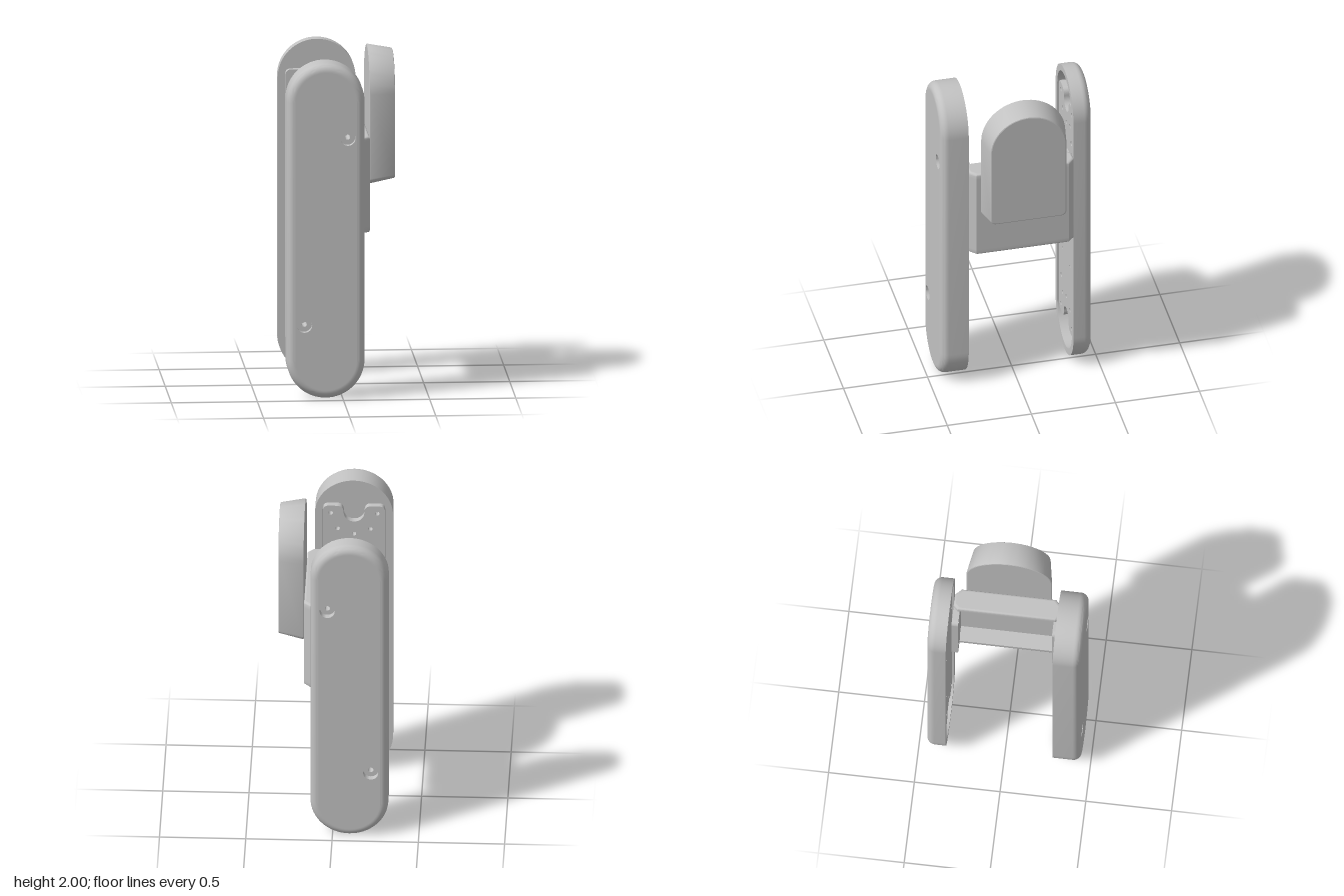
import * as THREE from 'three';
import { toCreasedNormals } from 'three/addons/utils/BufferGeometryUtils.js';

const grey = new THREE.MeshStandardMaterial({ color: 0xc2c2c2 });
grey.name = 'grey';
const greyOpen = new THREE.MeshStandardMaterial({ color: 0xc2c2c2, side: THREE.DoubleSide });
greyOpen.name = 'grey';

const LOW = 0.23, HIGH = 1.75, RADIUS = 0.226, WALL = 0.04;
const PLATE_Z = 0.01, PLATE_T = 0.035;
const BORE = 0.044, SCREW = 0.015;

function add(parent, name, geometry, material = grey) {
  const mesh = new THREE.Mesh(geometry, material);
  mesh.name = name;
  parent.add(mesh);
  return mesh;
}

function arc(cx, cy, r, from, to, n) {
  return Array.from({ length: n + 1 }, (_, i) => {
    const a = from + (to - from) * i / n;
    return new THREE.Vector2(cx + r * Math.cos(a), cy + r * Math.sin(a));
  });
}

// Outlines, counter-clockwise, shrunk by an inset
const stadium = (inset) => [
  ...arc(0, HIGH, RADIUS - inset, 0, Math.PI, 32),
  ...arc(0, LOW, RADIUS - inset, Math.PI, 2 * Math.PI, 32),
];
const arch = (inset) => {
  const w = 0.25 - inset, y = 1.225 + inset, r = 0.03;
  return [
    ...arc(0, 1.75, w, 0, Math.PI, 32),
    ...arc(-w + r, y + r, r, Math.PI, 1.5 * Math.PI, 6),
    ...arc(w - r, y + r, r, 1.5 * Math.PI, 2 * Math.PI, 6),
  ];
};
const BRIDGE_X0 = 0.043, BRIDGE_X1 = 0.17, BRIDGE_H = 0.311;
const octagon = (inset) => {
  const x0 = BRIDGE_X0 + inset, x1 = BRIDGE_X1 - inset, h = BRIDGE_H - inset, c = 0.025, d = 0.035;
  return [[x0 + c, -h], [x1 - d, -h], [x1, -h + d], [x1, h - d],
    [x1 - d, h], [x0 + c, h], [x0, h - c], [x0, -h + c]].map(([x, y]) => new THREE.Vector2(x, y));
};

// Skin through an outline repeated at [inset, z] steps
function loft(outline, steps) {
  const pos = [], index = [];
  const n = outline(0).length;
  steps.forEach(([inset, z], i) => {
    outline(inset).forEach((p, j) => {
      pos.push(p.x, p.y, z);
      if (i === steps.length - 1) return;
      const k = (j + 1) % n;
      const a = i * n + j, b = i * n + k, c = b + n, d = a + n;
      index.push(a, b, c, a, c, d);
    });
  });
  const g = new THREE.BufferGeometry();
  g.setAttribute('position', new THREE.Float32BufferAttribute(pos, 3));
  g.setIndex(index);
  return toCreasedNormals(g, 0.5);
}

function punch(shape, holes) {
  for (const [x, y, r] of holes) {
    shape.holes.push(new THREE.Path().absarc(x, y, r, 0, Math.PI * 2, true));
  }
  return shape;
}

const face = (points, holes = []) =>
  new THREE.ShapeGeometry(punch(new THREE.Shape(points), holes), 16);

// Quarter-round from the wall onto the flat top at z = depth
const rounding = (r, depth, n) => Array.from({ length: n + 1 }, (_, i) => {
  const a = i / n * Math.PI / 2;
  return [r * (1 - Math.cos(a)), depth - r * (1 - Math.sin(a))];
});

// Closed lofted body whose two ends lie flat
function solid(name, outline, steps) {
  const g = new THREE.Group();
  g.name = name;
  const [inset0, z0] = steps[0], [inset1, z1] = steps[steps.length - 1];
  add(g, name + 'Side', loft(outline, steps));
  add(g, name + 'Face', face(outline(inset1))).position.z = z1;
  const base = face(outline(inset0).map((p) => new THREE.Vector2(-p.x, p.y)));
  add(g, name + 'Base', base.rotateY(Math.PI)).position.z = z0;
  return g;
}

// Mounting plate with a round notch at both ends
function plateGeometry(screws) {
  const w = 0.18, r = 0.035, b = 0.185, t = 1.795;
  const s = new THREE.Shape();
  s.moveTo(-w, b + r);
  s.quadraticCurveTo(-w, b, -w + r, b);
  s.lineTo(-0.1, b);
  s.quadraticCurveTo(-0.06, b, -0.06, b + 0.045);
  s.absarc(0, b + 0.045, 0.06, Math.PI, 0, true);
  s.quadraticCurveTo(0.06, b, 0.1, b);
  s.lineTo(w - r, b);
  s.quadraticCurveTo(w, b, w, b + r);
  s.lineTo(w, t - r);
  s.quadraticCurveTo(w, t, w - r, t);
  s.lineTo(0.1, t);
  s.quadraticCurveTo(0.06, t, 0.06, t - 0.045);
  s.absarc(0, t - 0.045, 0.06, 0, -Math.PI, true);
  s.quadraticCurveTo(-0.06, t, -0.1, t);
  s.lineTo(-w + r, t);
  s.quadraticCurveTo(-w, t, -w, t - r);
  const holes = screws.map(([x, y]) => [x, y, SCREW]);
  for (const up of [1, -1]) {
    const y = (d) => 0.99 + up * d;
    holes.push([0, y(0.617), 0.013]);
    for (const side of [1, -1]) {
      holes.push([side * 0.135, y(0.757), 0.013], [side * 0.095, y(0.652), 0.013],
        [side * 0.095, y(up > 0 ? 0.27 : 0.34), 0.008]);
    }
  }
  return new THREE.ExtrudeGeometry(punch(s, holes),
    { depth: PLATE_T, bevelEnabled: false, curveSegments: 14 });
}

// Hollow cover: the open rim lies at z = 0, the outer face at z = depth
function cover(name, depth, flip) {
  const g = new THREE.Group();
  g.name = name;
  const screws = [[0.127 * flip, 1.54], [-0.125 * flip, 0.44]];
  const floor = depth - 0.035, round = 0.046, edge = round + 0.003;
  add(g, 'coverShell', loft(stadium,
    [[WALL, floor], [WALL, 0], [0, 0], ...rounding(round, depth, 8), [edge, depth]]));
  add(g, 'coverFace', face(stadium(edge), screws.map(([x, y]) => [x, y, BORE])))
    .position.z = depth;
  add(g, 'coverFloor', face(stadium(WALL), screws.map(([x, y]) => [-x, y, BORE]))
    .rotateY(Math.PI)).position.z = floor;
  add(g, 'mountingPlate', plateGeometry(screws)).position.z = PLATE_Z;
  // Counterbored screw holes
  const seat = depth - 0.035;
  const profile = [[SCREW, PLATE_Z], [SCREW, seat], [BORE, seat], [BORE, depth]]
    .map(([r, z]) => new THREE.Vector2(r, z));
  for (const [x, y] of screws) {
    const bore = toCreasedNormals(new THREE.LatheGeometry(profile, 32).rotateX(Math.PI / 2), 0.5);
    add(g, 'screwHole', bore, greyOpen).position.set(x, y, 0);
  }
  return g;
}

// Small flange that joins the bridge to a cover
function flangeGeometry(depth) {
  const x0 = -0.04, x1 = 0.07, y0 = 0.983, y1 = 1.475, r = 0.03;
  const s = new THREE.Shape();
  s.moveTo(x1, y0);
  s.lineTo(x1, y1);
  s.lineTo(x0 + r, y1);
  s.absarc(x0 + r, y1 - r, r, Math.PI / 2, Math.PI, false);
  s.absarc(x0 + r, y0 + r, r, Math.PI, Math.PI * 1.5, false);
  punch(s, [[0, 1.05, 0.012], [0, 1.41, 0.012]]);
  return new THREE.ExtrudeGeometry(s, { depth, bevelEnabled: false, curveSegments: 8 });
}

// Bridge: a shell with chamfered upright edges, open towards -x
function bridge() {
  const g = new THREE.Group();
  g.name = 'bridge';
  const y0 = 0.945, y1 = 1.51, wall = 0.035;
  const inX = BRIDGE_X1 - wall, inH = BRIDGE_H - wall;
  const section = new THREE.Shape([...octagon(0),
    ...[[BRIDGE_X0, -inH], [inX, -inH], [inX, inH], [BRIDGE_X0, inH]]
      .map(([x, y]) => new THREE.Vector2(x, y))].filter((p, i) => i < 7 || i > 7));
  section.curves.length = 0;
  const o = octagon(0);
  section.setFromPoints([...o.slice(0, 7), new THREE.Vector2(BRIDGE_X0, inH),
    new THREE.Vector2(inX, inH), new THREE.Vector2(inX, -inH),
    new THREE.Vector2(BRIDGE_X0, -inH), o[7]]);
  add(g, 'bridgeWalls', new THREE.ExtrudeGeometry(section,
    { depth: y1 - y0 - 2 * wall, bevelEnabled: false }).rotateX(-Math.PI / 2))
    .position.y = y0 + wall;
  for (const side of [1, -1]) {
    const slab = solid(side > 0 ? 'bridgeTop' : 'bridgeBottom', octagon,
      [[0, 0], ...rounding(0.012, wall, 4)]);
    slab.rotation.x = -side * Math.PI / 2;
    slab.position.y = side > 0 ? y1 - wall : y0 + wall;
    g.add(slab);
  }
  g.position.z = -0.027;
  return g;
}

export function createModel() {
  const model = new THREE.Group();
  model.name = 'clampHousing';

  const front = cover('frontCover', 0.162, 1);
  front.position.set(-0.097, 0, 0.285);
  const back = cover('backCover', 0.112, -1);
  back.rotation.y = Math.PI;
  back.position.set(-0.097, 0, -0.338);
  model.add(front, back);

  add(model, 'frontFlange', flangeGeometry(0.037)).position.z = 0.248;
  add(model, 'backFlange', flangeGeometry(0.038)).position.z = -0.338;
  model.add(bridge());

  // Tapered arched pad
  const pad = solid('archedPad', arch, [[0.006, 0], [0.001, 0.002], [0, 0.007],
    [0.024, 0.142], [0.026, 0.147], [0.031, 0.149]]);
  pad.rotation.y = Math.PI / 2;
  pad.position.set(0.172, 0, -0.027);
  model.add(pad);

  return model;
}
